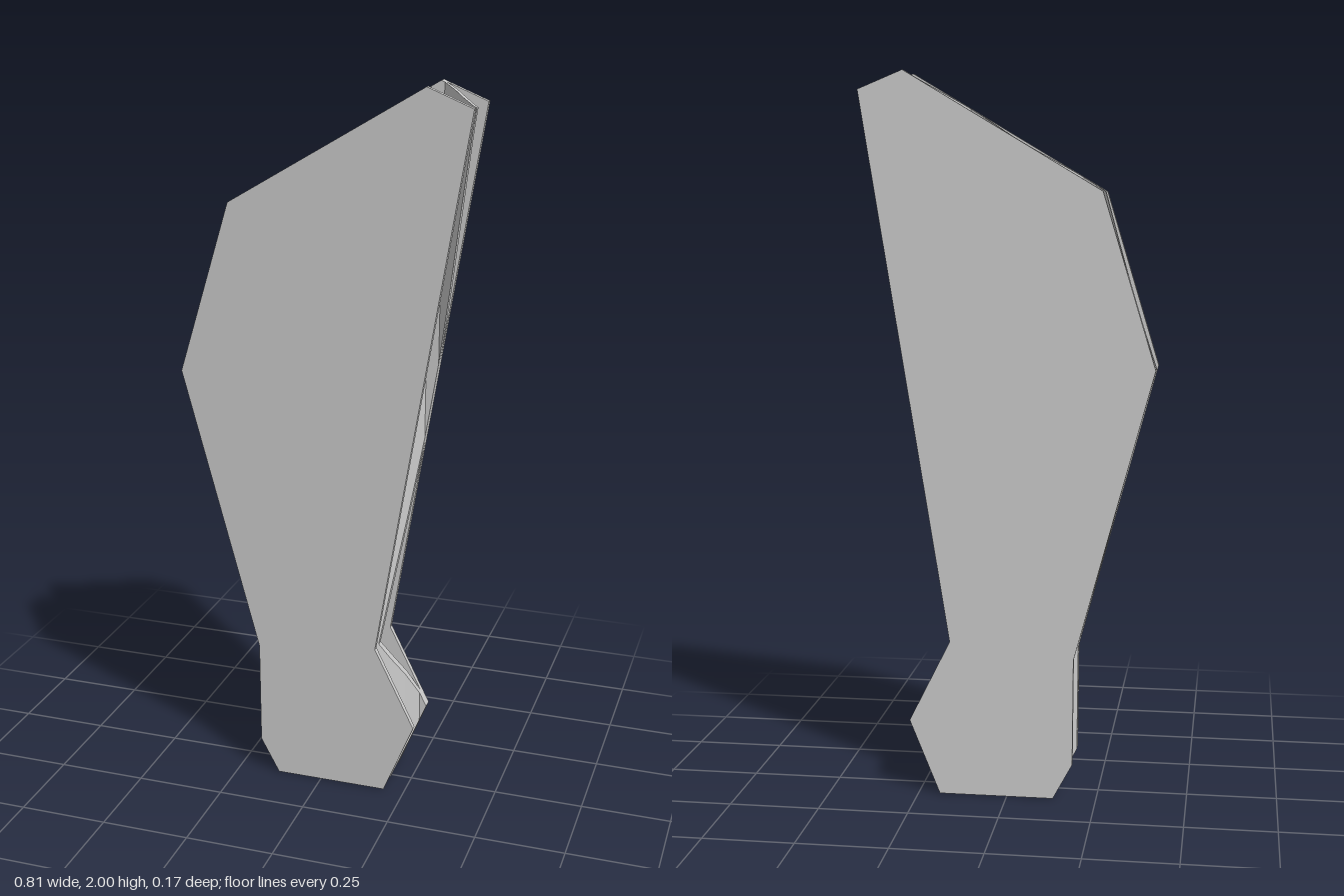
import * as THREE from 'three';

const OUTLINE = [
  [-0.13, 0], [0.19, 0], [0.275, 0.21], [0.16, 0.44], [0.403, 1.95],
  [0.28, 2], [-0.258, 1.68], [-0.403, 1.205], [-0.186, 0.4], [-0.184, 0.1],
];

// Lower and upper edges of the outline, split at the neck so each x has one span
const NECK = 0.16;
const NECK_TOP = 1.68 + 0.32 * (NECK + 0.258) / 0.538;
const SPANS = [
  { lower: [[-0.403, 1.205], [-0.186, 0.4], [-0.184, 0.1], [-0.13, 0], [NECK, 0]],
    upper: [[-0.403, 1.205], [-0.258, 1.68], [NECK, NECK_TOP]] },
  { lower: [[NECK, 0], [0.19, 0], [0.275, 0.21]],
    upper: [[NECK, 0.44], [0.275, 0.21]] },
  { lower: [[NECK, 0.44], [0.403, 1.95]],
    upper: [[NECK, NECK_TOP], [0.28, 2], [0.403, 1.95]] },
];

// Faceted wave: nine straight steps per period
const PERIOD = 0.311, STEP = PERIOD / 9, CREST = 0.117, AMP = 0.065, THICK = 0.0135;
const wavePoint = (k) => {
  const a = (k * 2 * Math.PI) / 9;
  const slope = (AMP * 2 * Math.PI / PERIOD) * Math.sin(a);
  return [AMP * Math.cos(a) - 0.0025, (THICK / 2) * Math.hypot(1, slope)];
};
function waveAt(x) {
  const k = (x - CREST) / STEP, i = Math.floor(k), f = k - i;
  const [z0, h0] = wavePoint(i), [z1, h1] = wavePoint(i + 1);
  const z = z0 + (z1 - z0) * f, h = h0 + (h1 - h0) * f;
  return [z - h, z + h];
}

// Height of a polyline at x
function heightAt(line, x) {
  for (let i = 1; i < line.length; i++) {
    const [x0, y0] = line[i - 1], [x1, y1] = line[i];
    if (x <= x1 + 1e-9) return y0 + (y1 - y0) * (x - x0) / (x1 - x0);
  }
  return line[line.length - 1][1];
}

// Joins rectangular cross-sections along x, trimmed to the outline
function flutingGeometry() {
  const pos = [];
  const tri = (a, b, c) => {
    const t = new THREE.Triangle(a, b, c);
    if (t.getArea() > 1e-9) for (const p of [a, b, c]) pos.push(p.x, p.y, p.z);
  };
  for (const { lower, upper } of SPANS) {
    const start = lower[0][0], end = lower[lower.length - 1][0];
    const xs = [...lower, ...upper].map((p) => p[0]);
    for (let k = -20; k <= 20; k++) {
      const x = CREST + k * STEP;
      if (x > start && x < end) xs.push(x);
    }
    xs.sort((a, b) => a - b);
    const sections = xs.filter((x, i) => !i || x - xs[i - 1] > 1e-6).map((x) => {
      const [back, front] = waveAt(x);
      const y0 = heightAt(lower, x), y1 = heightAt(upper, x);
      return [[y0, front], [y1, front], [y1, back], [y0, back]]
        .map(([y, z]) => new THREE.Vector3(x, y, z));
    });
    for (let i = 1; i < sections.length; i++) {
      const a = sections[i - 1], b = sections[i];
      for (let j = 0; j < 4; j++) {
        const n = (j + 1) % 4;
        tri(a[j], b[j], b[n]);
        tri(a[j], b[n], a[n]);
      }
    }
  }
  const geo = new THREE.BufferGeometry();
  geo.setAttribute('position', new THREE.Float32BufferAttribute(pos, 3));
  geo.computeVertexNormals();
  return geo;
}

export function createModel() {
  const group = new THREE.Group();
  group.name = 'corrugatedPanel';
  const material = new THREE.MeshStandardMaterial({ color: 0xcccccc, flatShading: true });

  // Two flat facing sheets
  const shape = new THREE.Shape(OUTLINE.map(([x, y]) => new THREE.Vector2(x, y)));
  const sheet = new THREE.ExtrudeGeometry(shape, { depth: 0.016, bevelEnabled: false });
  for (const [name, z] of [['frontSheet', 0.07], ['backSheet', -0.086]]) {
    const mesh = new THREE.Mesh(sheet, material);
    mesh.name = name;
    mesh.position.z = z;
    group.add(mesh);
  }

  // Wavy core between the sheets
  const core = new THREE.Mesh(flutingGeometry(), material);
  core.name = 'flutedCore';
  group.add(core);
  return group;
}
